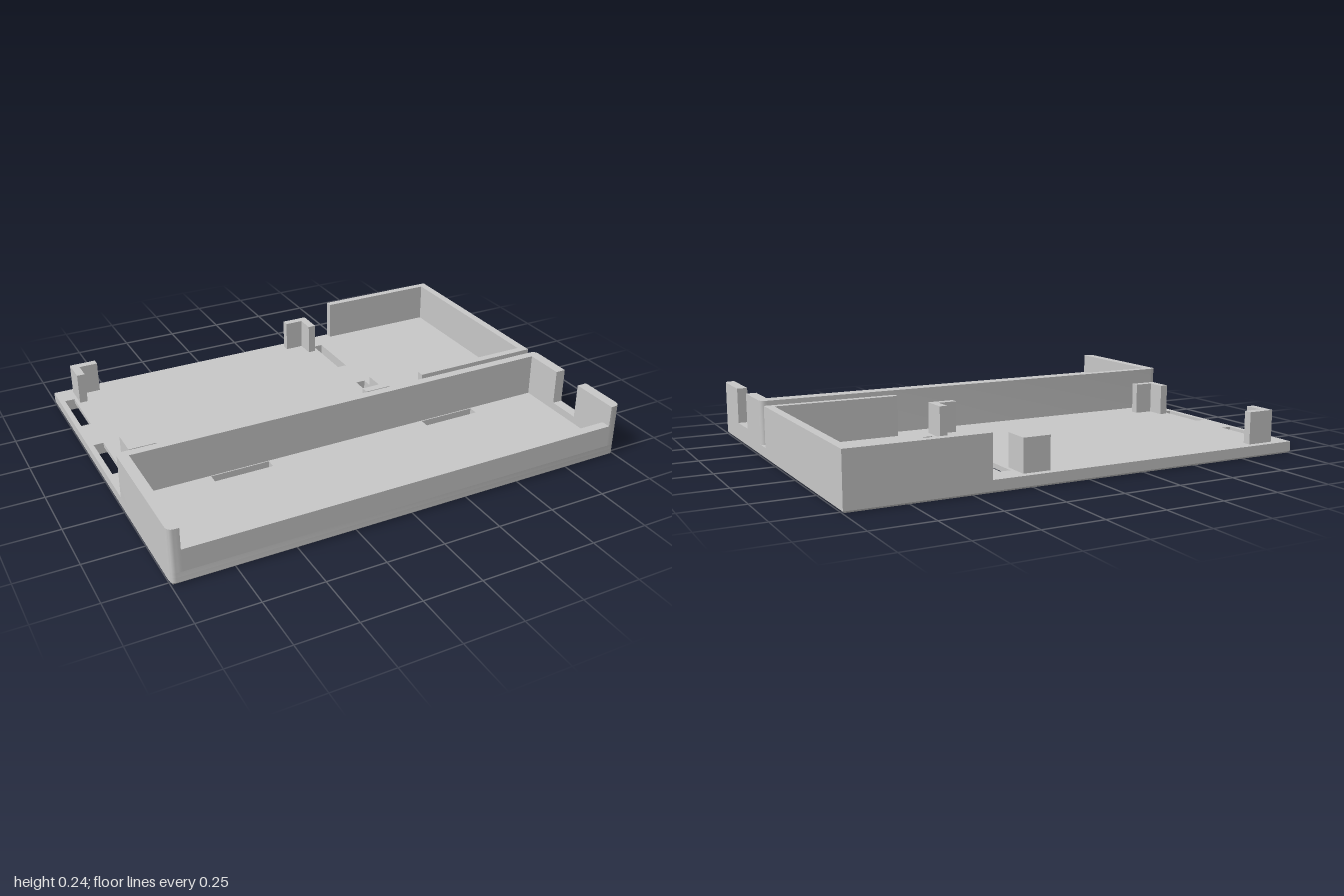
import * as THREE from 'three';
import { toCreasedNormals } from 'three/addons/utils/BufferGeometryUtils.js';

const D = 0.774;      // half depth
const R = 0.03;       // corner rounding
const FLOOR = 0.05;   // top of the base plate
const CHANNEL = 0.03; // depth of the strap channels underneath
const EDGE = 0.008;   // chamfer along the bottom edge

export function createModel() {
  const group = new THREE.Group();
  const grey = new THREE.MeshStandardMaterial({ color: 0xc8c8c8 });
  grey.name = 'lightGrey';

  // Plan outline from [x, z] corners; a third value rounds that corner
  function trace(path, pts) {
    const n = pts.length;
    pts.forEach(([x, z, r = 0], i) => {
      const toward = ([px, pz]) => {
        const l = Math.hypot(px - x, pz - z);
        return [x + (px - x) / l * r, -(z + (pz - z) / l * r)];
      };
      const a = toward(pts[(i + n - 1) % n]);
      const b = toward(pts[(i + 1) % n]);
      if (i === 0) path.moveTo(...a); else path.lineTo(...a);
      if (r) path.quadraticCurveTo(x, -z, ...b);
    });
    path.closePath();
    return path;
  }
  // Wound opposite to the plate outline, so it also serves for holes
  const rect = ([x0, x1, z0, z1]) => [[x0, z0], [x0, z1], [x1, z1], [x1, z0]];

  // Plan shape raised from y0 to y1
  function slab(pts, y0, y1, holes = []) {
    const shape = trace(new THREE.Shape(), pts);
    shape.holes = holes.map(h => trace(new THREE.Path(), rect(h)));
    const g = new THREE.ExtrudeGeometry(shape, { depth: y1 - y0, bevelEnabled: false, curveSegments: 6 });
    return g.rotateX(-Math.PI / 2).translate(0, y0, 0);
  }
  function add(name, geometry, parent = group) {
    const mesh = new THREE.Mesh(toCreasedNormals(geometry, 0.6), grey);
    mesh.name = name;
    parent.add(mesh);
  }

  // Base plate: strap slots above, wide strap channels below
  const slots = [], channels = [];
  for (const [z0, z1] of [[-0.672, -0.412], [-0.227, 0.033]]) {
    slots.push([-0.977, -0.934, z0, z1], [0.296, 0.339, z0, z1]);
    channels.push([-0.977, 0.339, z0, z1]);
  }
  for (const [x0, x1] of [[-0.627, -0.37], [0.373, 0.63]]) {
    slots.push([x0, x1, 0.233, 0.275], [x0, x1, 0.688, 0.73]);
    channels.push([x0, x1, 0.233, 0.73]);
  }
  const outline = [[-1, -D], [1, -D], [1, D, R], [-1, D, R]];
  const bottom = slab(outline, 0, EDGE, channels);
  // Pull the lowest rim inward to chamfer the bottom edge
  const pos = bottom.attributes.position;
  for (let i = 0; i < pos.count; i++) {
    if (pos.getY(i) > EDGE / 2) continue;
    pos.setX(i, THREE.MathUtils.clamp(pos.getX(i), EDGE - 1, 1 - EDGE));
    pos.setZ(i, THREE.MathUtils.clamp(pos.getZ(i), EDGE - D, D - EDGE));
  }
  bottom.computeVertexNormals();
  add('basePlateBottom', bottom);
  add('basePlateMiddle', slab(outline, EDGE, CHANNEL, channels));
  add('basePlateTop', slab(outline, CHANNEL, FLOOR, slots));

  // Front tray: tall walls, low front sill and a cable notch on the left side
  const tray = new THREE.Group();
  tray.name = 'frontTray';
  group.add(tray);
  const IX = 0.955, IZ = 0.733, H = 0.237;
  add('trayWall', slab([
    [-IX, D], [-1, D, R], [-1, 0.19, R], [1, 0.19, R], [1, 0.408],
    [IX, 0.408], [IX, 0.228], [-IX, 0.228],
  ], FLOOR, H), tray);
  add('trayCornerPost', slab([[IX, 0.553], [1, 0.553], [1, D, R], [IX, D]], FLOOR, H), tray);
  add('trayFrontSill', slab(rect([-IX, IX, IZ, D]), FLOOR, 0.145), tray);
  add('trayNotchSill', slab(rect([IX, 1, 0.408, 0.553]), FLOOR, 0.083), tray);

  // Three-sided wall around the left rear end
  add('rearEnclosure', slab([
    [0.423, -D], [1, -D], [1, 0.14], [0.423, 0.14], [0.423, 0.107],
    [0.965, 0.107], [0.965, -0.741], [0.423, -0.741],
  ], FLOOR, 0.226));

  // Four L-shaped corner brackets
  const T = 0.035, L = 0.117;
  for (const [x, sx] of [[-0.92, 1], [0.28, -1]]) {
    for (const [z, sz] of [[-0.743, 1], [0.103, -1]]) {
      const corner = [[0, 0], [L, 0], [L, T], [T, T], [T, L], [0, L]];
      add('cornerBracket', slab(corner.map(([a, b]) => [x + sx * a, z + sz * b]), FLOOR, 0.187));
    }
  }
  return group;
}
